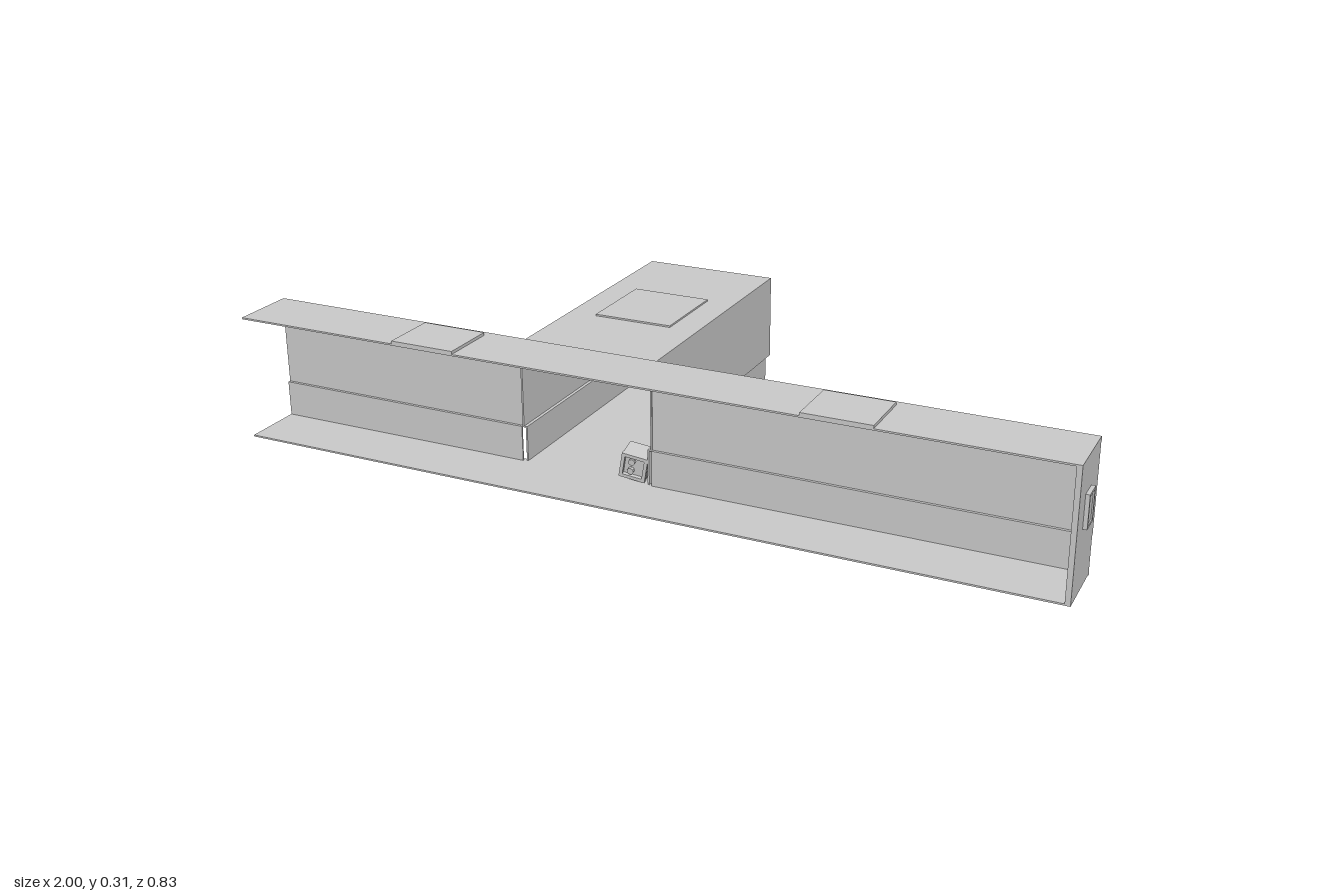
import * as THREE from 'three';

const mat = new THREE.MeshStandardMaterial({ color: 0xcccccc, flatShading: true });
const T = 0.004; // sheet thickness

// Box given by its min and max corners
function slab(parent, name, x0, x1, y0, y1, z0, z1) {
  const m = new THREE.Mesh(new THREE.BoxGeometry(x1 - x0, y1 - y0, z1 - z0), mat);
  m.position.set((x0 + x1) / 2, (y0 + y1) / 2, (z0 + z1) / 2);
  m.name = name;
  parent.add(m);
  return m;
}

// Rectangular frame with an opening, extruded along +z
function frameGeometry(w, h, rim, depth) {
  const s = new THREE.Shape();
  s.moveTo(-w / 2, -h / 2).lineTo(w / 2, -h / 2).lineTo(w / 2, h / 2).lineTo(-w / 2, h / 2).closePath();
  const a = w / 2 - rim, b = h / 2 - rim;
  const hole = new THREE.Path();
  hole.moveTo(-a, -b).lineTo(-a, b).lineTo(a, b).lineTo(a, -b).closePath();
  s.holes.push(hole);
  return new THREE.ExtrudeGeometry(s, { depth, bevelEnabled: false });
}

// Wall along x: the upper sheet overhangs the recessed lower sheet
function wallX(parent, name, x0, x1, top, zUp, zLow) {
  const g = new THREE.Group();
  g.name = name;
  slab(g, 'upperWall', x0, x1, 0.09, top, zUp, zUp + T);
  slab(g, 'lowerWall', x0, x1, 0.004, 0.09, zLow, zLow + T);
  slab(g, 'wallStep', x0, x1, 0.09, 0.093, zUp, zLow + T);
  parent.add(g);
}

// Wall along z, dir = direction of the outside
function wallZ(parent, name, xUp, xLow, z0, z1, top, dir) {
  const g = new THREE.Group();
  g.name = name;
  const sheet = (n, x, y0, y1) =>
    slab(g, n, Math.min(x, x - dir * T), Math.max(x, x - dir * T), y0, y1, z0, z1);
  sheet('upperWall', xUp, 0.09, top);
  sheet('lowerWall', xLow, 0.004, 0.09);
  const inner = xLow - dir * T;
  slab(g, 'wallStep', Math.min(xUp, inner), Math.max(xUp, inner), 0.09, 0.093, z0, z1);
  parent.add(g);
}

export function createModel() {
  const root = new THREE.Group();
  root.name = 'corridorJunction';
  const body = new THREE.Group();
  body.name = 'corridor';
  body.rotation.y = -0.006;
  root.add(body);

  // Main corridor: open at the front and at its right end
  const L = -1, R = 0.99, F = 0.411, B = 0.255;
  slab(body, 'mainFloor', L, R, 0.003, 0.007, B, F);
  slab(body, 'mainRoof', L, R, 0.303, 0.307, B, F);
  wallX(body, 'backWallRight', L, -0.335, 0.303, B, 0.262);
  wallX(body, 'backWallLeft', 0, R, 0.303, B, 0.262);
  slab(body, 'roofTrim', L, R, 0.295, 0.304, B - 0.003, B + 0.006);
  slab(body, 'floorTrim', L, R, 0, 0.006, B, B + 0.006);
  slab(body, 'endWall', 0.978, R, 0.003, 0.307, B + 0.004, F);

  // Branch corridor
  const zEnd = -0.415;
  slab(body, 'branchFloor', -0.327, -0.008, 0.003, 0.007, zEnd + 0.009, B);
  slab(body, 'branchRoof', -0.335, 0, 0.294, 0.298, zEnd, B);
  wallZ(body, 'branchRightWall', -0.335, -0.327, zEnd + 0.009, 0.262, 0.295, -1);
  wallZ(body, 'branchLeftWall', 0, -0.008, zEnd + 0.009, 0.262, 0.295, 1);
  const back = new THREE.Group();
  back.name = 'branchEndWall';
  slab(back, 'upperWall', -0.335, 0, 0.09, 0.295, zEnd, zEnd + 0.01);
  slab(back, 'lowerWall', -0.327, -0.008, 0.004, 0.09, zEnd + 0.009, zEnd + 0.013);
  body.add(back);

  // Raised roof hatches
  for (const x of [-0.5, 0.49]) slab(body, 'roofHatch', x - 0.08, x + 0.08, 0.306, 0.314, 0.274, F);
  slab(body, 'branchHatch', -0.265, -0.07, 0.297, 0.302, -0.185, 0.025);

  // Framed panel on the closed end
  const panel = new THREE.Group();
  panel.name = 'endPanel';
  panel.position.set(R, 0.188, 0.338);
  panel.rotation.y = Math.PI / 2;
  const frame = new THREE.Mesh(frameGeometry(0.048, 0.076, 0.006, 0.009), mat);
  frame.name = 'panelFrame';
  panel.add(frame);
  slab(panel, 'panelFace', -0.018, 0.018, -0.032, 0.032, 0, 0.006);
  body.add(panel);

  // Small tilted box in the corner of the branch opening
  const box = new THREE.Group();
  box.name = 'controlBox';
  box.position.set(-0.052, 0.045, 0.235);
  box.rotation.set(0.1, 0.15, -0.2);
  slab(box, 'boxBody', -0.03, 0.03, -0.03, 0.03, -0.03, 0.02);
  const rim = new THREE.Mesh(frameGeometry(0.062, 0.062, 0.008, 0.012), mat);
  rim.position.z = 0.018;
  rim.name = 'boxRim';
  box.add(rim);
  for (const y of [-0.012, 0.012]) {
    const knob = new THREE.Mesh(new THREE.CylinderGeometry(0.008, 0.008, 0.01, 8), mat);
    knob.rotation.x = Math.PI / 2;
    knob.position.set(-0.006, y, 0.024);
    knob.name = 'boxKnob';
    box.add(knob);
  }
  body.add(box);
  return root;
}
